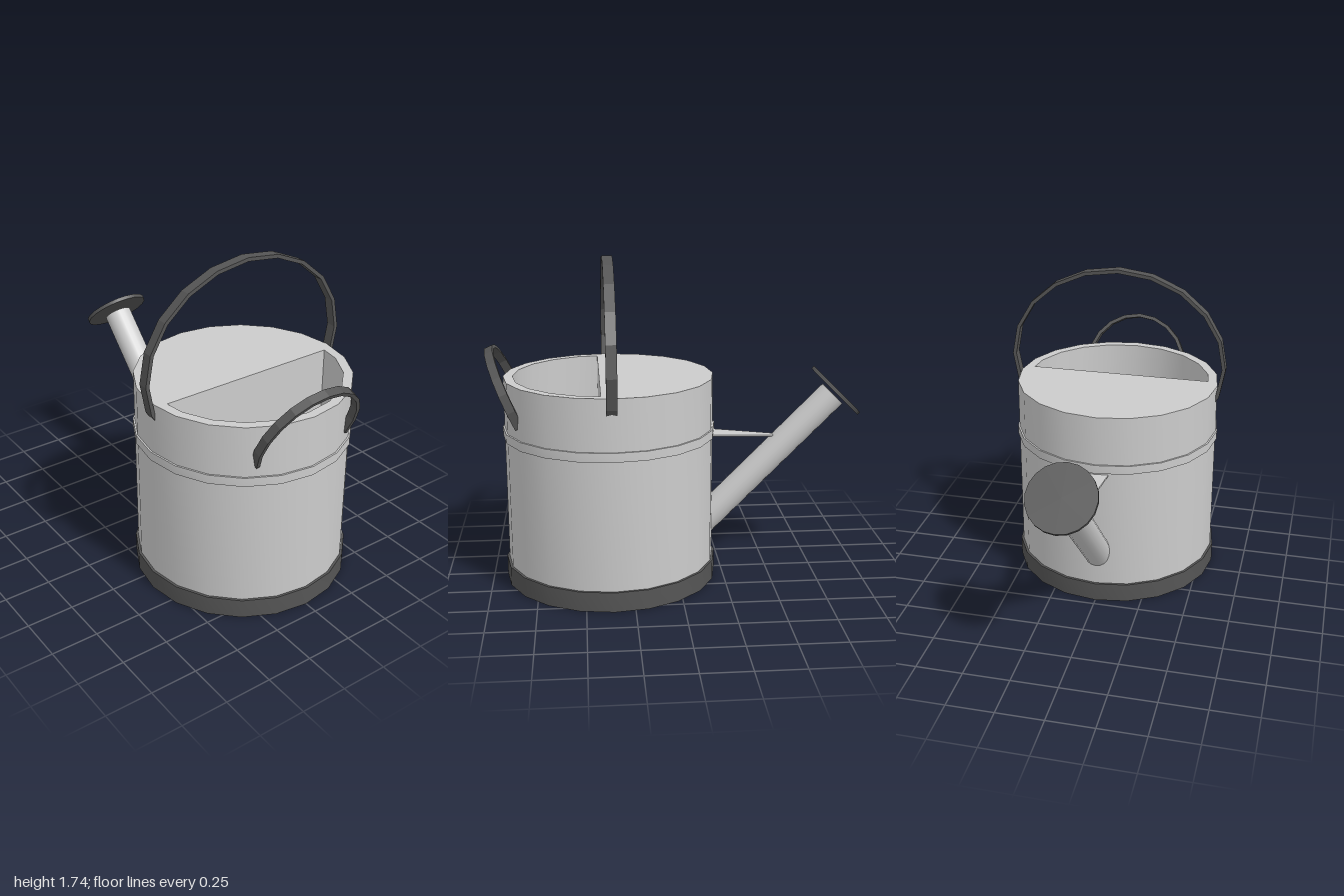
import * as THREE from 'three';
import { toCreasedNormals } from 'three/addons/utils/BufferGeometryUtils.js';

const SIDES = 20;
const STEP = (Math.PI * 2) / SIDES;
const CENTER_Z = 0.358;
const R = 0.557;
const TOP = 1.11;
const FLOOR = 0.12;

const grey = new THREE.MeshStandardMaterial({ color: 0xcccccc });
const greyDouble = new THREE.MeshStandardMaterial({ color: 0xcccccc, side: THREE.DoubleSide });
const dark = new THREE.MeshStandardMaterial({ color: 0x555555 });

function part(parent, name, geometry, material) {
  const mesh = new THREE.Mesh(geometry, material);
  mesh.name = name;
  parent.add(mesh);
  return mesh;
}

// Turned shape from [radius, height] pairs, with sharp profile edges
function turned(profile) {
  const points = profile.map(([r, y]) => new THREE.Vector2(r, y));
  return toCreasedNormals(new THREE.LatheGeometry(points, SIDES), 0.6);
}

// Flat strap bent along an elliptical arc; overhang counts steps below the horizontal
function strap(rx, ry, overhang, thickness, width) {
  const outer = [], inner = [];
  for (let i = -overhang; i <= SIDES / 2 + overhang; i++) {
    const c = Math.cos(i * STEP), s = Math.sin(i * STEP);
    outer.push(new THREE.Vector2(rx * c, ry * s));
    inner.unshift(new THREE.Vector2((rx - thickness) * c, (ry - thickness) * s));
  }
  const shape = new THREE.Shape([...outer, ...inner]);
  return new THREE.ExtrudeGeometry(shape, { depth: width, bevelEnabled: false }).translate(0, 0, -width / 2);
}

// Half-round filling opening, in shape space (y points to the back)
function openingPoints() {
  const r = 0.507, pts = [new THREE.Vector2(0.497, -0.052)];
  for (let i = 1; i < SIDES / 2; i++) pts.push(new THREE.Vector2(r * Math.cos(i * STEP), -r * Math.sin(i * STEP)));
  pts.push(new THREE.Vector2(-0.497, -0.052));
  return pts;
}

// Upright walls between two heights along a closed outline
function walls(pts, y0, y1) {
  const pos = [];
  pts.forEach((a, i) => {
    const b = pts[(i + 1) % pts.length];
    pos.push(a.x, y0, -a.y, b.x, y0, -b.y, b.x, y1, -b.y);
    pos.push(a.x, y0, -a.y, b.x, y1, -b.y, a.x, y1, -a.y);
  });
  const geo = new THREE.BufferGeometry();
  geo.setAttribute('position', new THREE.Float32BufferAttribute(pos, 3));
  return toCreasedNormals(geo, 0.6);
}

function buildBody() {
  const body = new THREE.Group();
  body.name = 'body';
  body.position.z = CENTER_Z;

  part(body, 'bodyWall', turned([[R, 0.05], [R, TOP]]), grey);
  part(body, 'base', turned([[0, 0], [0.57, 0], [0.57, 0.105], [0, 0.105]]), dark);
  part(body, 'rimBand', turned([[R - 0.01, 0.79], [0.566, 0.79], [0.566, 0.838], [R - 0.01, 0.838]]), grey);

  // Top plate with the half-round opening
  const ring = [];
  for (let i = 0; i < SIDES; i++) ring.push(new THREE.Vector2(R * Math.cos(i * STEP), R * Math.sin(i * STEP)));
  const plate = new THREE.Shape(ring);
  const opening = openingPoints();
  plate.holes.push(new THREE.Path(opening));
  part(body, 'topPlate', new THREE.ShapeGeometry(plate).rotateX(-Math.PI / 2).translate(0, TOP, 0), grey);

  // Inside of the tank
  part(body, 'tankWalls', walls(opening, FLOOR, TOP), greyDouble);
  part(body, 'tankFloor',
    new THREE.ShapeGeometry(new THREE.Shape(opening)).rotateX(-Math.PI / 2).translate(0, FLOOR, 0), greyDouble);
  return body;
}

function buildSpout() {
  // Built upright along y, then tipped 45 degrees to the back
  const spout = new THREE.Group();
  spout.name = 'spout';
  const length = 1.1;
  const tube = part(spout, 'spoutTube', new THREE.CylinderGeometry(0.076, 0.076, length, SIDES), grey);
  tube.position.y = -length / 2;
  const rose = part(spout, 'sprinklerDisc', new THREE.CylinderGeometry(0.177, 0.177, 0.02, SIDES), dark);
  rose.position.y = 0.025;
  spout.position.set(0, 0.98, -0.855);
  spout.rotation.x = -Math.PI / 4;
  return spout;
}

// Thin tapering plate between body and spout
function braceGeometry() {
  const geo = new THREE.BoxGeometry(1, 0.01, 0.4);
  const p = geo.attributes.position;
  for (let i = 0; i < p.count; i++) {
    const back = p.getZ(i) < 0;
    p.setX(i, p.getX(i) * (back ? 0.03 : 0.14));
    p.setY(i, p.getY(i) + (back ? 0.752 : 0.777));
    p.setZ(i, back ? -0.57 : -0.17);
  }
  return geo.toNonIndexed().computeVertexNormals() ?? geo;
}

export function createModel() {
  const model = new THREE.Group();
  model.name = 'wateringCan';
  model.add(buildBody(), buildSpout());
  part(model, 'spoutBrace', braceGeometry(), grey);

  // Carrying handle over the top
  const carry = part(model, 'carryHandle', strap(0.6, 0.522, 2, 0.02, 0.055), dark);
  carry.position.set(0, 1.215, CENTER_Z);

  // Tilted tipping handle at the front
  const tip = part(model, 'tippingHandle', strap(0.3, 0.31, 1, 0.02, 0.046), dark);
  tip.position.set(0, 0.985, 0.86);
  tip.rotation.x = 0.415;
  return model;
}
